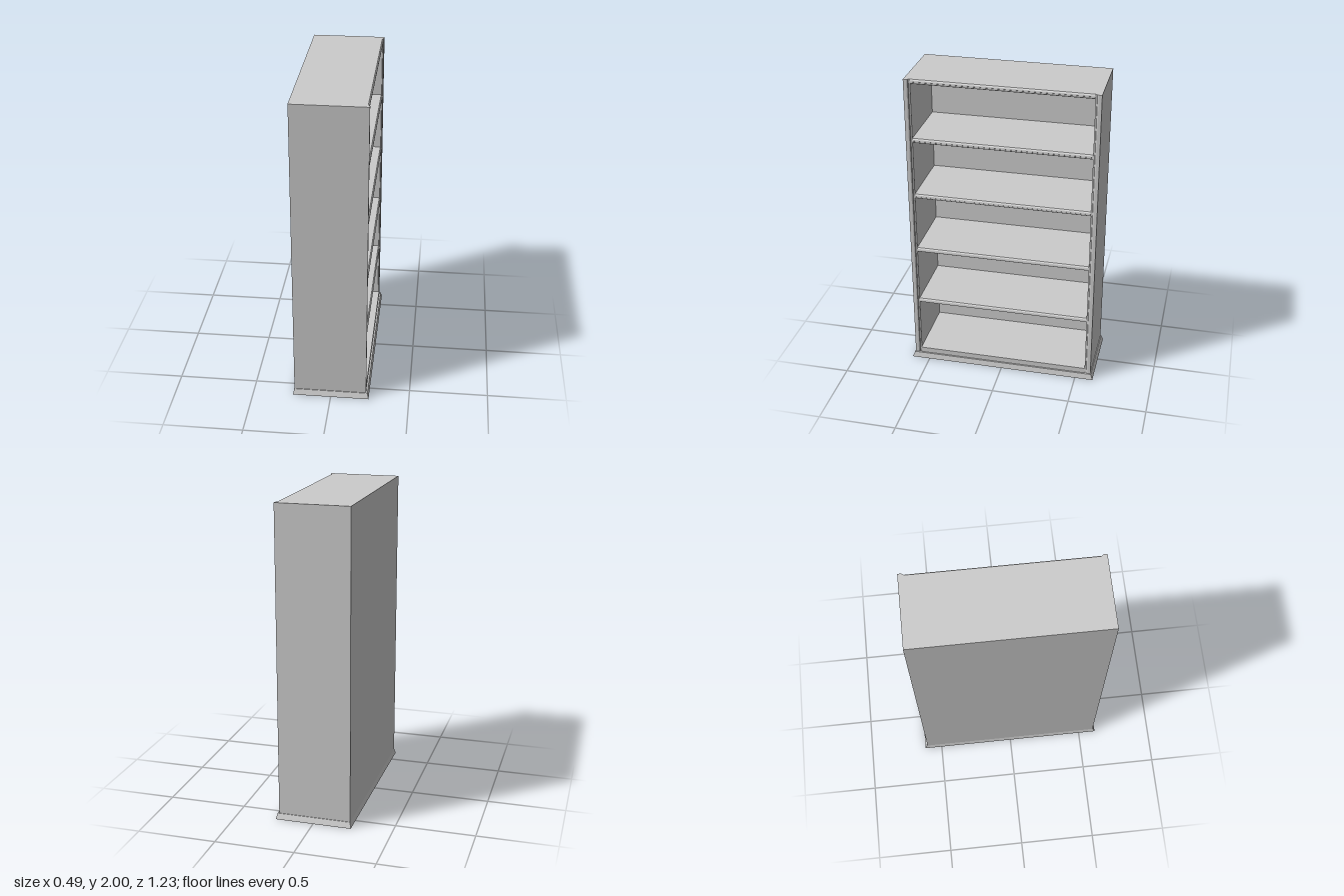
import * as THREE from 'three';

const material = new THREE.MeshStandardMaterial({ color: 0xcccccc, flatShading: true, side: THREE.DoubleSide });

const BACK = -0.235, FRONT = 0.226, HALF = 0.6, INNER = 0.56, TOP = 2;

function add(group, name, geometry) {
  const mesh = new THREE.Mesh(geometry, material);
  mesh.name = name;
  group.add(mesh);
  return mesh;
}

function extrude(points, depth) {
  const shape = new THREE.Shape(points.map(([x, y]) => new THREE.Vector2(x, y)));
  return new THREE.ExtrudeGeometry(shape, { depth, bevelEnabled: false });
}

// Board across the case with a moulded front nose, top face at the given height
function shelfGeometry(top) {
  const profile = [
    [BACK + 0.01, -0.031], [0.211, -0.031], [0.217, -0.027], [0.217, -0.018],
    [0.222, -0.015], [0.22, -0.007], [0.214, 0], [BACK + 0.01, 0],
  ];
  return extrude(profile, 2 * INNER).translate(0, top, -INNER);
}

// Upright whose front inner edge is moulded; s picks the end of the case
function sideGeometry(s) {
  const profile = [
    [BACK, HALF], [FRONT, HALF], [FRONT, 0.58], [0.223, 0.572],
    [0.218, 0.569], [0.216, INNER], [BACK, INNER],
  ];
  return extrude(profile.map(([x, z]) => [x, s * z]), TOP - 0.035)
    .rotateX(-Math.PI / 2).translate(0, 0.035, 0);
}

// Closed rectangular moulding from rings of [half width, half depth, height]
function ringGeometry(rings) {
  const positions = [], index = [];
  for (const [x, z, y] of rings) positions.push(x, y, z, x, y, -z, -x, y, -z, -x, y, z);
  const n = rings.length;
  for (let r = 0; r < n; r++) {
    for (let c = 0; c < 4; c++) {
      const a = r * 4 + c, b = r * 4 + (c + 1) % 4;
      const d = ((r + 1) % n) * 4 + c, e = ((r + 1) % n) * 4 + (c + 1) % 4;
      index.push(a, b, e, a, e, d);
    }
  }
  const geometry = new THREE.BufferGeometry();
  geometry.setAttribute('position', new THREE.Float32BufferAttribute(positions, 3));
  geometry.setIndex(index);
  const flat = geometry.toNonIndexed();
  flat.computeVertexNormals();
  return flat;
}

export function createModel() {
  const group = new THREE.Group();
  group.name = 'bookcase';

  // Case
  add(group, 'leftSide', sideGeometry(-1));
  add(group, 'rightSide', sideGeometry(1));
  add(group, 'backPanel', new THREE.BoxGeometry(0.015, TOP - 0.035, 2 * INNER))
    .position.set(BACK + 0.0075, (TOP + 0.035) / 2, 0);
  add(group, 'floorPanel', new THREE.BoxGeometry(FRONT - BACK - 0.002, 0.037, 2 * INNER))
    .position.set((FRONT + BACK) / 2, 0.0535, 0);

  // Shelves and top board
  [0.46, 0.845, 1.233, 1.615].forEach((y, i) => add(group, `shelf${i + 1}`, shelfGeometry(y)));
  add(group, 'topBoard', shelfGeometry(TOP));

  // Flared hollow skirting around the foot
  add(group, 'baseSkirting', ringGeometry([
    [0.243, 0.617, 0], [0.243, 0.617, 0.004], [0.235, 0.604, 0.037],
    [0.215, 0.58, 0.037], [0.217, 0.583, 0.03], [0.232, 0.604, 0],
  ]));

  return group;
}
